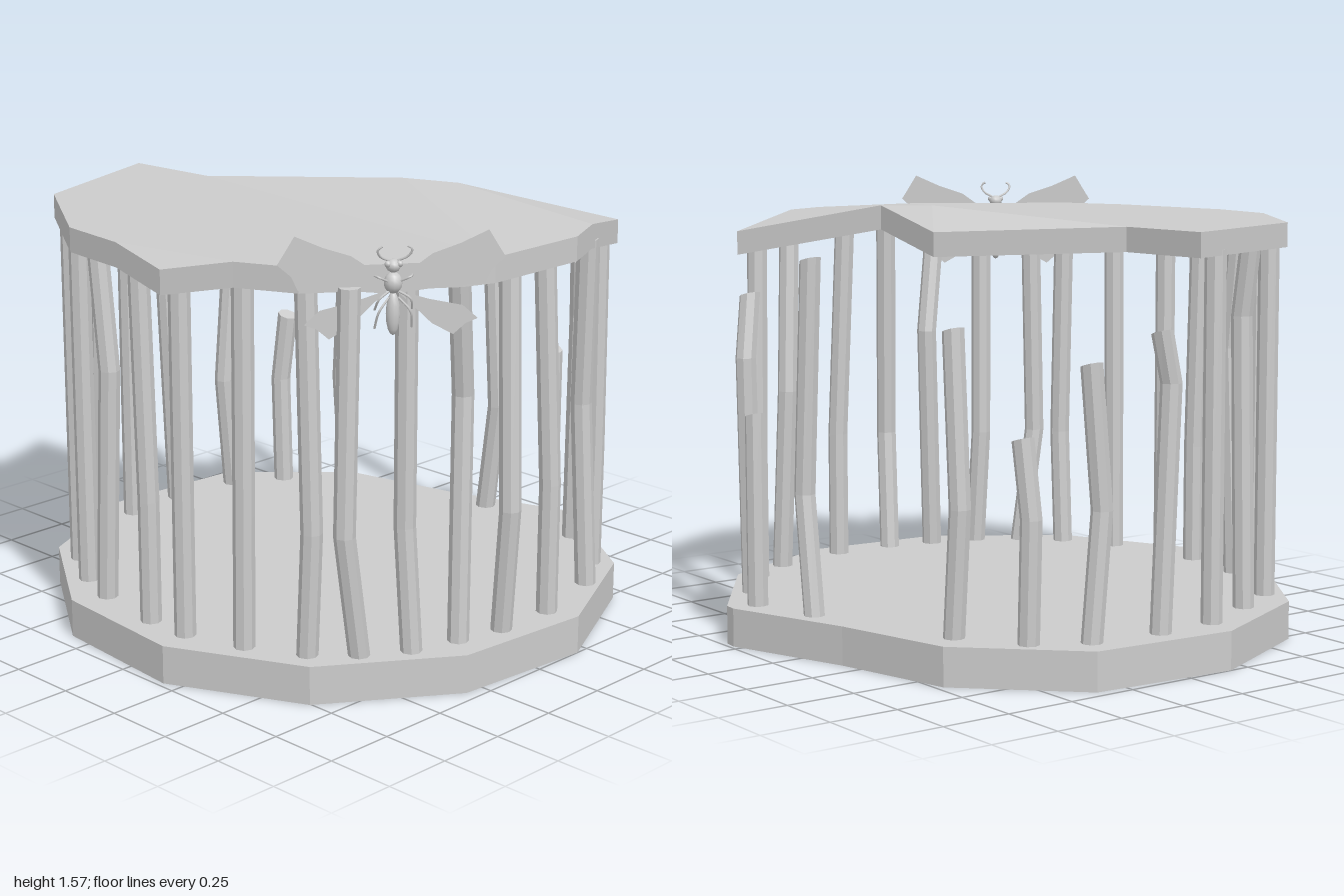
import * as THREE from 'three';

const mat = new THREE.MeshStandardMaterial({ color: 0xcccccc, flatShading: true, side: THREE.DoubleSide });
const smooth = new THREE.MeshStandardMaterial({ color: 0xcccccc });

function add(parent, name, geometry, material = mat) {
  const mesh = new THREE.Mesh(geometry, material);
  mesh.name = name;
  parent.add(mesh);
  return mesh;
}

// Faceted slab: points are [x, z, top y], the first `rim` points form the outline,
// regions are polygons of point indices that cover the top.
function slab(points, rim, regions, thickness, closed) {
  const pos = [];
  const put = (i, drop) => pos.push(points[i][0], points[i][2] - drop, points[i][1]);
  for (const region of regions) {
    const contour = region.map(i => new THREE.Vector2(points[i][0], points[i][1]));
    for (const tri of THREE.ShapeUtils.triangulateShape(contour, [])) {
      let [a, b, c] = tri.map(t => region[t]);
      const [A, B, C] = [points[a], points[b], points[c]];
      const up = (B[1] - A[1]) * (C[0] - A[0]) - (B[0] - A[0]) * (C[1] - A[1]);
      if (up < 0) [b, c] = [c, b];
      put(a, 0); put(b, 0); put(c, 0);
      if (closed) { put(a, thickness); put(c, thickness); put(b, thickness); }
    }
  }
  // Outline runs clockwise seen from above
  for (let i = 0; i < rim; i++) {
    const j = (i + 1) % rim;
    put(i, 0); put(j, 0); put(j, thickness);
    put(i, 0); put(j, thickness); put(i, thickness);
  }
  const geometry = new THREE.BufferGeometry();
  geometry.setAttribute('position', new THREE.Float32BufferAttribute(pos, 3));
  geometry.computeVertexNormals();
  return geometry;
}

// Post through three points: foot, bend and top, with an optional slanted cut
function post(foot, bend, top, slant = 0) {
  const geometry = new THREE.CylinderGeometry(0.037, 0.037, 2, 8, 2);
  const p = geometry.attributes.position;
  for (let i = 0; i < p.count; i++) {
    const x = p.getX(i), y = p.getY(i), z = p.getZ(i);
    const c = y < -0.5 ? foot : y > 0.5 ? top : bend;
    p.setXYZ(i, c[0] + x, c[1] + (y > 0.5 ? slant * x : 0), c[2] + z);
  }
  geometry.computeVertexNormals();
  return geometry;
}

function wing(points) {
  return new THREE.ShapeGeometry(new THREE.Shape(points.map(([x, y]) => new THREE.Vector2(x, y))));
}

function tube(points, radius) {
  const curve = new THREE.CatmullRomCurve3(points.map(p => new THREE.Vector3(...p)));
  return new THREE.TubeGeometry(curve, 8, radius, 5);
}

function createInsect() {
  const insect = new THREE.Group();
  insect.name = 'wingedInsect';
  // Body: [name, y, radius, height scale]
  for (const [name, y, r, sy] of [['head', 1.47, 0.024, 0.9], ['thorax', 1.415, 0.03, 1.15], ['abdomen', 1.315, 0.023, 3.1]]) {
    const part = add(insect, name, new THREE.SphereGeometry(r, 12, 8), smooth);
    part.position.set(0, y, 0.02);
    part.scale.y = sy;
  }
  for (const s of [-1, 1]) {
    const side = (pts) => pts.map(([x, y]) => [s * x, y]);
    add(insect, 'upperWing', wing(side([[0.01, 1.40], [0.06, 1.45], [0.13, 1.50], [0.22, 1.53], [0.31, 1.57],
      [0.34, 1.52], [0.365, 1.48], [0.32, 1.44], [0.30, 1.395], [0.16, 1.39], [0.02, 1.375]])));
    add(insect, 'lowerWing', wing(side([[0.01, 1.385], [0.12, 1.35], [0.23, 1.325], [0.28, 1.28],
      [0.24, 1.265], [0.20, 1.23], [0.13, 1.27], [0.06, 1.34]]))).position.z = -0.008;
    const eye = add(insect, 'eye', new THREE.SphereGeometry(0.011, 8, 6), smooth);
    eye.position.set(s * 0.019, 1.478, 0.03);
    add(insect, 'antenna', tube([[s * 0.01, 1.485, 0.02], [s * 0.045, 1.505, 0.04], [s * 0.055, 1.53, 0.05], [s * 0.04, 1.54, 0.05]], 0.004), smooth);
    for (const [y, end] of [[1.42, 1.44], [1.39, 1.33], [1.37, 1.27]])
      add(insect, 'leg', tube([[s * 0.015, y, 0.03], [s * 0.05, (y + end) / 2 + 0.01, 0.05], [s * 0.06, end, 0.025]], 0.004), smooth);
  }
  insect.position.set(0.78, 0, 0.51);
  insect.rotation.y = 0.94;
  return insect;
}

export function createModel() {
  const model = new THREE.Group();
  model.name = 'postCage';

  // Floor, open underneath
  const floor = [[0.335, -0.98], [0.77, -0.68], [1, -0.2], [0.955, 0.32], [0.655, 0.755], [0.185, 0.98], [-0.345, 0.935],
    [-0.78, 0.64], [-1, 0.175], [-0.96, -0.365], [-0.61, -0.725], [-0.17, -0.83], [0.285, -0.985]].map(([x, z]) => [x, z, 0.135]);
  add(model, 'floor', slab(floor, floor.length, [floor.map((_, i) => i)], 0.135, false));

  // Broken roof slab with folded corners; the last point is an inner peak
  const h = 1.465;
  const roof = [[-0.95, 0.065, h], [-0.605, 0.035, h], [-0.085, -0.39, 1.435], [0.26, -0.375, 1.51], [0.73, -0.685, 1.405],
    [0.87, -0.37, h], [0.945, -0.2, h], [0.94, 0.2, h], [0.9, 0.31, h], [0.59, 0.735, h], [0.39, 0.83, h],
    [0.17, 0.945, 1.42], [-0.07, 0.925, h], [-0.335, 0.9, h], [-0.765, 0.62, h], [0.08, -0.28, 1.515]];
  add(model, 'roof', slab(roof, 15, [[0, 1, 7, 8, 9, 10, 12, 13, 14], [10, 11, 12], [1, 15, 7], [15, 3, 7],
    [3, 6, 7], [3, 4, 5], [3, 5, 6], [1, 2, 15], [2, 3, 15]], 0.085, true));

  // Whole posts: foot x, z; bend shift x, z; bend height; top shift x, z
  const whole = [
    [-0.87, 0.2, 0, 0, 0.6, 0, 0], [-0.755, 0.45, 0.03, 0, 1.15, -0.01, 0], [-0.64, 0.65, 0, 0, 0.57, 0, 0],
    [-0.46, 0.76, 0, 0, 0.6, 0, 0], [-0.29, 0.82, 0.045, 0, 0.97, 0, 0], [-0.01, 0.86, 0, 0, 0.57, -0.025, 0],
    [0.165, 0.86, 0, 0, 0.6, 0, 0], [0.38, 0.79, 0.005, 0, 0.6, 0.01, 0], [0.575, 0.69, 0.025, 0, 0.57, 0, 0],
    [0.7, 0.56, 0, 0.08, 0.57, 0, 0.06], [0.8, 0.42, -0.03, 0.01, 0.57, -0.02, 0.02], [0.85, 0.25, -0.04, -0.05, 0.98, 0, 0.02],
    [0.88, 0.07, 0.05, 0.02, 0.58, 0, -0.01], [0.89, -0.16, 0, 0, 0.6, -0.03, 0.02], [0.82, -0.46, -0.04, 0.01, 0.8, 0, 0.05],
    [0.7, -0.63, 0, 0, 0.6, 0, 0.01, 1.36],
  ];
  for (const [x, z, bx, bz, by, tx, tz, ty = 1.4] of whole)
    add(model, 'post', post([x, 0.07, z], [x + bx, by, z + bz], [x + tx, ty, z + tz]));

  // Broken posts end in the open with a slanted cut; same order, then top height
  const broken = [
    [-0.885, -0.04, 0, 0.04, 0.97, 0, 0, 1.14], [-0.855, -0.31, 0, 0.045, 0.57, 0, 0, 1.05],
    [-0.75, -0.485, -0.015, 0, 0.55, 0.01, -0.015, 0.81], [-0.525, -0.625, -0.04, 0, 0.57, -0.005, 0, 1.155],
    [0.02, -0.815, 0.06, 0, 0.55, 0.01, 0, 1.355], [0.285, -0.885, 0, 0, 0.5, 0, 0, 0.805],
    [0.48, -0.79, -0.01, -0.02, 0.98, 0.015, 0.015, 1.2],
  ];
  for (const [x, z, bx, bz, by, tx, tz, ty] of broken)
    add(model, 'brokenPost', post([x, 0.07, z], [x + bx, by, z + bz], [x + tx, ty, z + tz], -0.3));

  model.add(createInsect());
  return model;
}
